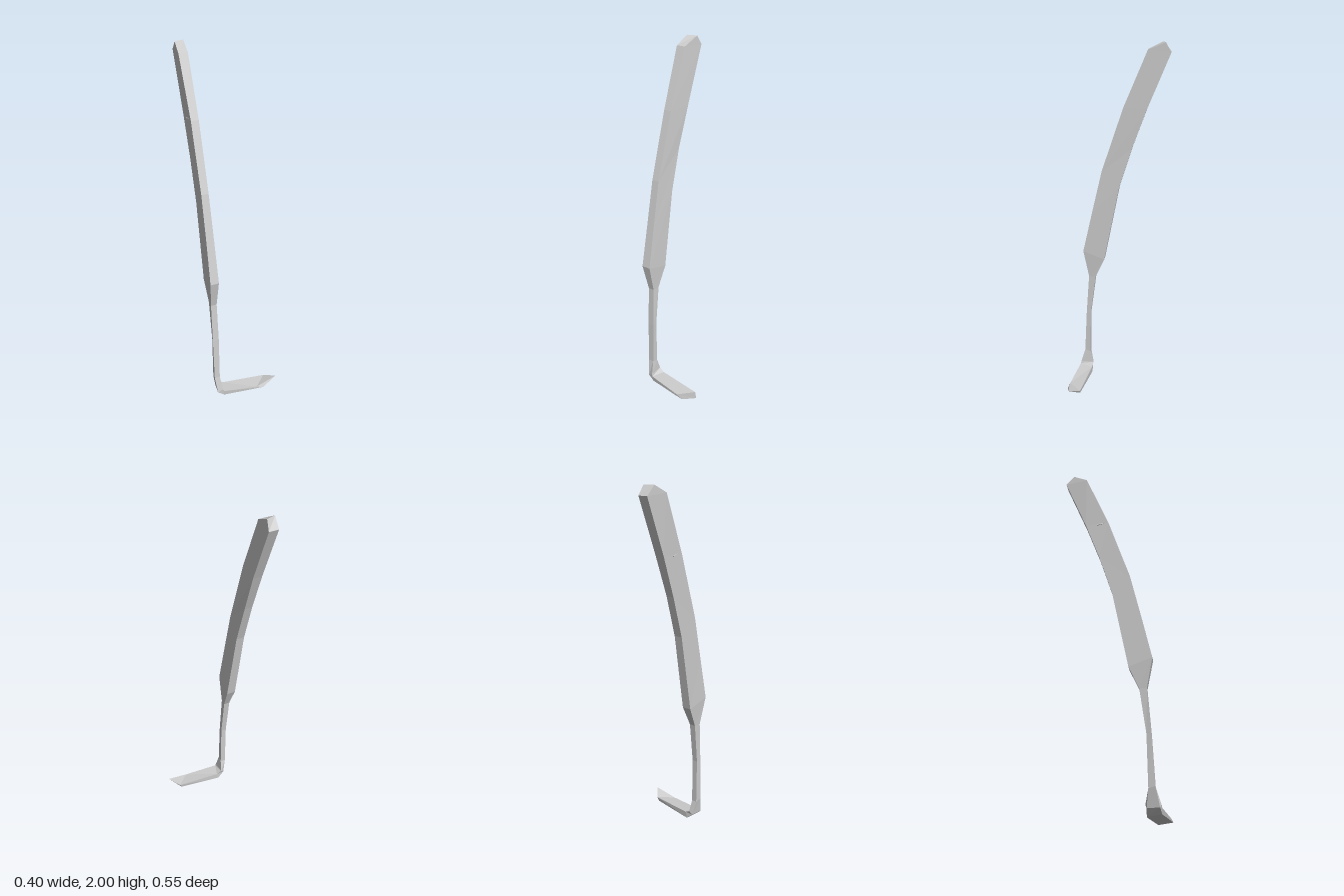
import * as THREE from 'three';

// Skin a run of four-cornered sections; corners run front-left, front-right, back-right, back-left
function loft(sections) {
  const index = [];
  for (let i = 0; i < sections.length - 1; i++) {
    for (let j = 0; j < 4; j++) {
      const a = i * 4 + j, b = i * 4 + (j + 1) % 4;
      index.push(a, b, b + 4, a, b + 4, a + 4);
    }
  }
  const geometry = new THREE.BufferGeometry();
  geometry.setAttribute('position', new THREE.Float32BufferAttribute(sections.flat(2), 3));
  geometry.setIndex(index);
  const flat = geometry.toNonIndexed();
  flat.computeVertexNormals();
  return flat;
}

// Upright section: front edge (yf, zf), back edge (yb, zb), and x of the four corners
const section = (yf, zf, yb, zb, fl, fr, br, bl) =>
  [[fl, yf, zf], [fr, yf, zf], [br, yb, zb], [bl, yb, zb]];

export function createModel() {
  const group = new THREE.Group();
  const material = new THREE.MeshStandardMaterial({ color: 0xcccccc, flatShading: true });
  const add = (name, geometry) => {
    const mesh = new THREE.Mesh(geometry, material);
    mesh.name = name;
    group.add(mesh);
    return mesh;
  };

  // Curved grip, closed by a ridge on top and tapering into the shank
  const neck = section(0.64, 0.18, 0.64, 0.14, -0.148, -0.182, -0.178, -0.142);
  add('handle', loft([
    [[-0.137, 2, -0.245], [-0.19, 2, -0.228], [-0.19, 2, -0.228], [-0.137, 2, -0.245]],
    section(1.96, -0.15, 1.95, -0.275, -0.15, -0.2, -0.185, -0.13),
    section(1.65, -0.02, 1.65, -0.152, -0.151, -0.194, -0.185, -0.132),
    section(1.29, 0.1, 1.43, -0.072, -0.153, -0.194, -0.184, -0.138),
    section(1.04, 0.158, 1.2, 0, -0.15, -0.194, -0.184, -0.136),
    section(0.8, 0.212, 0.76, 0.086, -0.147, -0.196, -0.184, -0.131),
    neck,
  ]));

  // Thin shank flaring at the foot, then turning sideways into the blade
  const foot = [[-0.138, 0.06, 0.235], [-0.165, 0.04, 0.23], [-0.155, 0.04, 0.165], [-0.135, 0.06, 0.157]];
  add('shank', loft([
    neck,
    section(0.4, 0.197, 0.4, 0.172, -0.144, -0.18, -0.174, -0.142),
    section(0.14, 0.21, 0.13, 0.176, -0.145, -0.177, -0.172, -0.141),
    foot,
  ]));

  // Flat blade ending in a raised point
  const tip = [0.2, 0.06, 0.257];
  add('blade', loft([
    foot,
    [[-0.134, 0.045, 0.237], [-0.128, 0.015, 0.236], [-0.115, 0.005, 0.161], [-0.105, 0.042, 0.162]],
    [[0.07, 0.03, 0.268], [0.11, 0.018, 0.275], [0.138, 0.012, 0.197], [0.15, 0.034, 0.195]],
    [tip, tip, tip, tip],
  ]));

  // Small nick across the right face of the grip
  const nick = add('gripNick', new THREE.BoxGeometry(0.006, 0.006, 0.065));
  nick.position.set(-0.19, 1.65, -0.055);
  nick.rotation.set(-0.22, 0.09, 0);

  return group;
}
